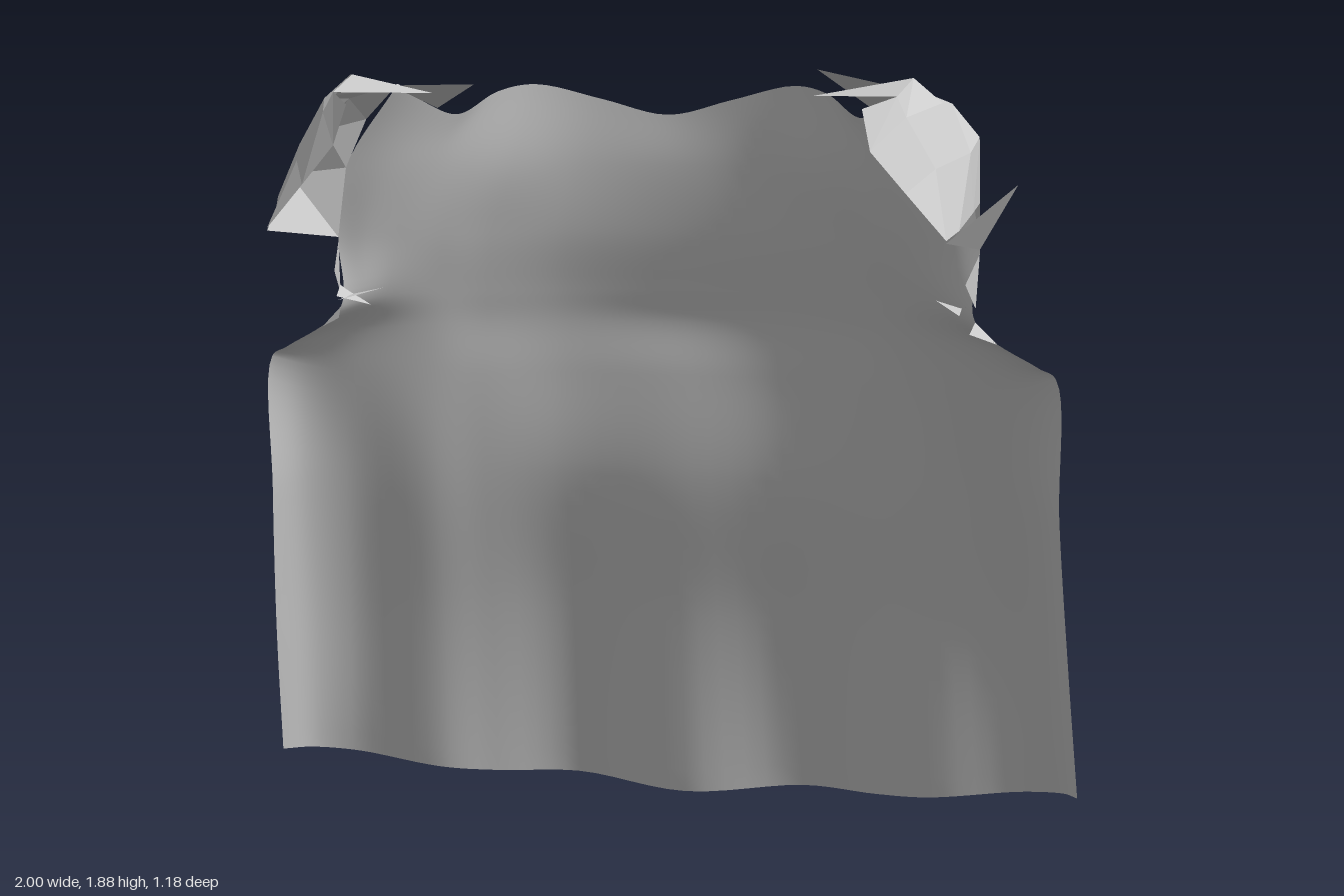
import * as THREE from 'three';
import { ParametricGeometry } from 'three/addons/geometries/ParametricGeometry.js';

const smooth = new THREE.MeshStandardMaterial({ color: 0xcccccc, side: THREE.DoubleSide });
const faceted = new THREE.MeshStandardMaterial({ color: 0xcccccc, side: THREE.DoubleSide, flatShading: true });

// Half sections of the cloth from hem to neck: height, then x, z pairs from the spine outwards
const SECTIONS = [
  [0, 0, -0.52, 0.3, -0.59, 0.5, -0.5, 0.64, -0.44, 0.86, -0.44, 0.96, -0.38, 1, -0.24],
  [0.5, 0, -0.42, 0.28, -0.447, 0.48, -0.39, 0.62, -0.35, 0.82, -0.34, 0.92, -0.27, 0.965, -0.13],
  [0.88, 0, -0.325, 0.27, -0.33, 0.47, -0.29, 0.6, -0.25, 0.78, -0.22, 0.88, -0.15, 0.93, -0.045],
  [1.14, 0, -0.302, 0.26, -0.295, 0.45, -0.24, 0.58, -0.19, 0.74, -0.13, 0.84, -0.08, 0.91, -0.02],
  [1.27, 0, -0.3, 0.25, -0.28, 0.44, -0.22, 0.56, -0.16, 0.69, -0.1, 0.79, -0.055, 0.87, -0.015],
  [1.35, 0, -0.28, 0.25, -0.26, 0.43, -0.2, 0.54, -0.14, 0.64, -0.07, 0.69, -0.03, 0.73, 0],
  [1.49, 0, -0.247, 0.24, -0.225, 0.41, -0.165, 0.51, -0.105, 0.6, -0.05, 0.67, -0.02, 0.735, -0.01],
  [1.65, 0, -0.228, 0.2, -0.21, 0.35, -0.155, 0.45, -0.1, 0.55, -0.04, 0.62, -0.015, 0.71, -0.005],
  [1.765, 0, -0.23, 0.15, -0.215, 0.3, -0.175, 0.38, -0.13, 0.46, -0.07, 0.52, -0.03, 0.58, 0],
];
// Height offsets by section: curved hem, tight armhole corner, scalloped neckline
const LIFT = {
  0: [0, 0.012, 0.033, 0.055, 0.085, 0.11, 0.15],
  3: [0, 0, 0, 0, 0.01, 0.035, 0.065],
  4: [0, 0, 0, 0, -0.005, -0.02, -0.04],
  5: [0, 0, 0, 0, 0, -0.01, -0.02],
  8: [0, 0.035, 0.07, 0.055, 0.005, 0.03, 0.075],
};

function clothGeometry() {
  const rows = SECTIONS.map(([y, ...xz], r) => {
    const half = [];
    for (let i = 0; i < 7; i++) {
      half.push(new THREE.Vector3(xz[2 * i], y + (LIFT[r]?.[i] ?? 0), xz[2 * i + 1]));
    }
    const mirrored = half.slice(1).reverse().map((p) => new THREE.Vector3(-p.x, p.y, p.z));
    return new THREE.CatmullRomCurve3([...mirrored, ...half]);
  });
  const columns = new Map();
  const geometry = new ParametricGeometry((u, v, target) => {
    if (!columns.has(u)) columns.set(u, new THREE.CatmullRomCurve3(rows.map((c) => c.getPoint(u))));
    columns.get(u).getPoint(v, target);
  }, 72, 64);
  geometry.computeVertexNormals();
  return geometry;
}

// Shoulder strap sections from the cloth edge to the front end, inner edge to outer edge
function strapSections(side) {
  // The left strap hangs straight behind its fold, the right one flares out to it
  const flare = side > 0 ? [[0.735, 1.6, 0.08], [0.73, 1.6, 0.3]] : [[0.82, 1.64, 0.08], [0.765, 1.61, 0.3]];
  return [
    [[0.58, 1.84, 0], [0.66, 1.76, -0.01], [0.71, 1.65, -0.005], [0.735, 1.49, -0.01]],
    [[0.57, 1.84, 0.09], [0.67, 1.81, 0.08], [0.73, 1.74, 0.08], flare[0]],
    [[0.6, 1.87, 0.28], [0.66, 1.82, 0.28], [0.72, 1.72, 0.28], flare[1]],
    [[0.58, 1.84, 0.46], [0.6, 1.8, 0.47], [0.66, 1.7, 0.47], [0.71, 1.58, 0.48]],
    [[0.52, 1.82, 0.56], [0.54, 1.74, 0.59], [0.61, 1.66, 0.585], [0.69, 1.57, 0.58]],
  ];
}

function strapTriangles(side) {
  const rows = strapSections(side);
  const out = [];
  for (let i = 0; i < rows.length - 1; i++) {
    for (let j = 0; j < 3; j++) {
      const [a, b, c, d] = [rows[i][j], rows[i + 1][j], rows[i + 1][j + 1], rows[i][j + 1]];
      out.push([a, b, c], [a, c, d]);
    }
  }
  return out;
}

function facets(triangles, side) {
  const points = triangles.flat().map(([x, y, z]) => new THREE.Vector3(x * side, y, z));
  const geometry = new THREE.BufferGeometry().setFromPoints(points);
  geometry.computeVertexNormals();
  return geometry;
}

function addMesh(parent, name, geometry, material) {
  const mesh = new THREE.Mesh(geometry, material);
  mesh.name = name;
  parent.add(mesh);
}

export function createModel() {
  const model = new THREE.Group();
  model.name = 'cape';
  addMesh(model, 'backCloth', clothGeometry(), smooth);

  for (const side of [1, -1]) {
    const shoulder = new THREE.Group();
    shoulder.name = side > 0 ? 'leftShoulder' : 'rightShoulder';
    addMesh(shoulder, 'shoulderStrap', facets(strapTriangles(side), side), faceted);

    // Flap along the lower edge of the strap
    addMesh(shoulder, 'strapFold', facets([
      [[0.735, 1.49, -0.01], [0.69, 1.565, 0.58], [0.815, 1.64, 0.08]],
    ], side), faceted);

    // Ragged points along the inner edge of the strap
    const tip = side > 0 ? [0.38, 1.88, 0.08] : [0.37, 1.845, 0.12];
    addMesh(shoulder, 'collarPoints', facets([
      [[0.5, 1.785, -0.04], [0.57, 1.84, 0.09], tip],
      [[0.5, 1.785, -0.04], [0.58, 1.84, 0], [0.57, 1.84, 0.09]],
      [[0.6, 1.87, 0.27], [0.58, 1.84, 0.46], [0.4, 1.835, 0.345]],
    ], side), faceted);

    // Small torn points at the armhole
    addMesh(shoulder, 'armholePoints', facets([
      [[0.735, 1.48, -0.01], [0.73, 1.36, 0], [0.71, 1.425, 0.1]],
      [[0.73, 1.38, 0], [0.67, 1.33, -0.04], [0.7, 1.37, 0.12]],
      [[0.64, 1.37, -0.05], [0.7, 1.36, 0], [0.7, 1.36, 0.12]],
      [[0.73, 1.33, 0], [0.78, 1.28, -0.01], [0.72, 1.31, 0.05]],
    ], side), faceted);
    model.add(shoulder);
  }
  return model;
}
